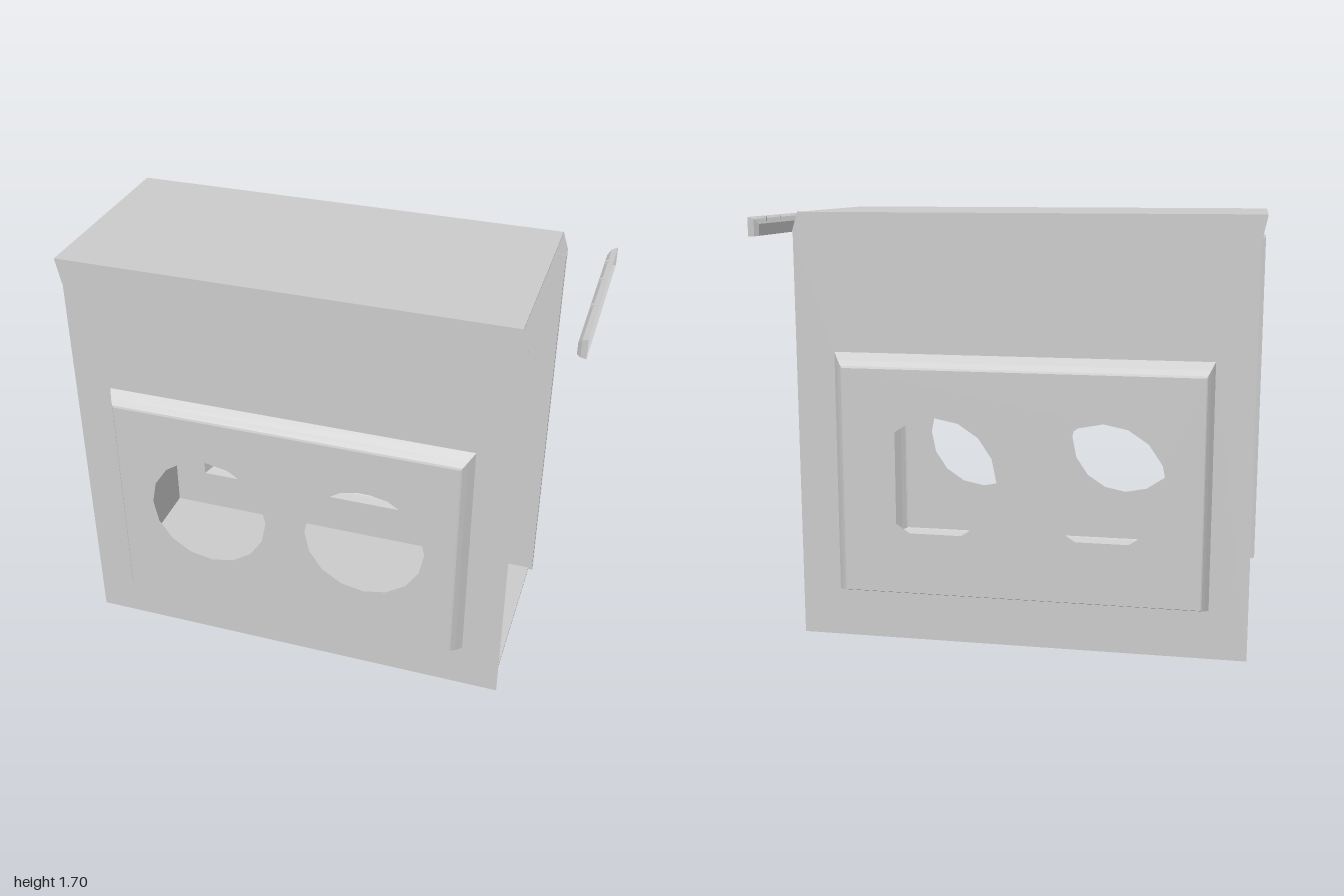
import * as THREE from 'three';

const material = new THREE.MeshStandardMaterial({ color: 0xcccccc, flatShading: true, side: THREE.DoubleSide });

const add = (parent, geometry, name) => {
  const mesh = new THREE.Mesh(geometry, material);
  mesh.name = name;
  parent.add(mesh);
  return mesh;
};
const rect = (x0, x1, y0, y1) => [[x0, y0], [x1, y0], [x1, y1], [x0, y1]];
const circle = (cx, cy, r, n) => Array.from({ length: n }, (_, i) => {
  const a = (i / n) * Math.PI * 2;
  return [cx + r * Math.cos(a), cy + r * Math.sin(a)];
});
const vectors = (points) => points.map(([x, y]) => new THREE.Vector2(x, y));

// Flat sheet in the XY plane with openings
function sheet(outline, holes = [], z = 0) {
  const shape = new THREE.Shape(vectors(outline));
  holes.forEach((h) => shape.holes.push(new THREE.Path(vectors(h))));
  return new THREE.ShapeGeometry(shape).translate(0, 0, z);
}

// Bevelled border rising from a rectangle: steps are [share of inset, height]
function pressing(parent, box, inset, steps, holes, name) {
  const [x0, x1, y0, y1] = box;
  const [left, right, bottom, top] = inset;
  const rings = steps.map(([s, z]) =>
    rect(x0 + left * s, x1 - right * s, y0 + bottom * s, y1 - top * s).map((p) => [...p, z]));
  const pos = [];
  for (let r = 0; r < rings.length - 1; r++) {
    for (let i = 0; i < 4; i++) {
      const j = (i + 1) % 4;
      const [a, b, c, d] = [rings[r][i], rings[r][j], rings[r + 1][j], rings[r + 1][i]];
      pos.push(...a, ...b, ...c, ...a, ...c, ...d);
    }
  }
  const border = new THREE.BufferGeometry();
  border.setAttribute('position', new THREE.Float32BufferAttribute(pos, 3));
  border.computeVertexNormals();
  add(parent, border, name + 'Border');
  const last = rings[rings.length - 1];
  add(parent, sheet(last.map(([x, y]) => [x, y]), holes, last[0][2]), name + 'Face');
}

// Large wall with a raised panel and two round openings
function broadWall(name) {
  const wall = new THREE.Group();
  wall.name = name;
  const box = [-0.83, 0.645, 0.195, 1.16];
  add(wall, sheet(rect(-0.98, 0.8, 0, 1.615), [rect(...box)]), 'wallSheet');
  pressing(wall, box, [0.03, 0.045, 0.015, 0.055],
    [[0, 0], [0.5, 0.03], [0.85, 0.047], [1, 0.05]],
    [-0.42, 0.235].map((x) => circle(x, 0.675, 0.245, 16)), 'raisedPanel');
  // folded skirt of the lid, slightly proud of the wall
  add(wall, sheet([[-0.98, 1.605], [0.8, 1.605], [0.8, 1.63], [0.777, 1.7], [-1, 1.7]], [], 0.004), 'lidSkirt');
  add(wall, new THREE.BoxGeometry(1.78, 0.005, 0.006).translate(-0.09, 1.605, 0), 'lidSeam');
  return wall;
}

export function createModel() {
  const model = new THREE.Group();
  model.name = 'openCase';

  const front = broadWall('frontWall');
  front.position.z = 0.398;
  const back = broadWall('backWall');
  back.scale.z = -1;
  back.position.z = -0.411;
  model.add(front, back);

  // End wall: local x runs along world z, local z points outwards to -x
  const end = new THREE.Group();
  end.name = 'ventedEndWall';
  end.rotation.y = -Math.PI / 2;
  end.position.x = -0.98;
  const door = [0.022, 0.28, 0.28, 1.6];
  const slots = [];
  for (const y of [0.535, 1.055]) {
    for (let i = 0; i < 3; i++) {
      const z = -0.131 - i * 0.08;
      slots.push(rect(z, z + 0.046, y, y + 0.265));
    }
  }
  add(end, sheet(rect(-0.411, 0.398, 0, 1.61), [rect(...door), ...slots]), 'endSheet');
  pressing(end, door, [0.004, 0.004, 0.004, 0.004], [[0, 0], [1, 0.018]], [], 'raisedDoor');
  model.add(end);

  // Lid, its flared end and the floor
  add(model, new THREE.BoxGeometry(1.777, 0.004, 0.817).translate(-0.1115, 1.698, -0.0065), 'lid');
  const flare = add(model, new THREE.BoxGeometry(0.003, 0.1, 0.815), 'lidEnd');
  flare.position.set(-0.989, 1.65, -0.0065);
  flare.rotation.z = 0.2;
  add(model, new THREE.BoxGeometry(1.76, 0.008, 0.809).translate(-0.1, 0.004, -0.0065), 'floor');

  // Narrow returns on the free edges of the opening
  for (const z of [0.391, -0.404]) {
    add(model, new THREE.BoxGeometry(0.004, 1.6, 0.012).translate(0.796, 0.81, z), 'edgeReturn');
  }

  // Separate shallow tray standing off the open end
  const tray = new THREE.Group();
  tray.name = 'detachedTray';
  tray.rotation.y = -Math.PI / 2;
  tray.position.x = 0.993;
  pressing(tray, [-0.387, 0.367, 1.602, 1.678], [0.026, 0.022, 0.002, 0.028],
    [[0, 0], [0.3, 0.022], [1, 0.036]], [], 'tray');
  for (const z of [0.1, -0.11, -0.265]) {
    add(tray, new THREE.BoxGeometry(0.008, 0.026, 0.02).translate(z, 1.662, 0.02), 'trayClip');
  }
  for (const z of [0.03, -0.068]) {
    add(tray, new THREE.BoxGeometry(0.02, 0.008, 0.012).translate(z, 1.638, 0.03), 'trayTab');
  }
  model.add(tray);
  return model;
}
